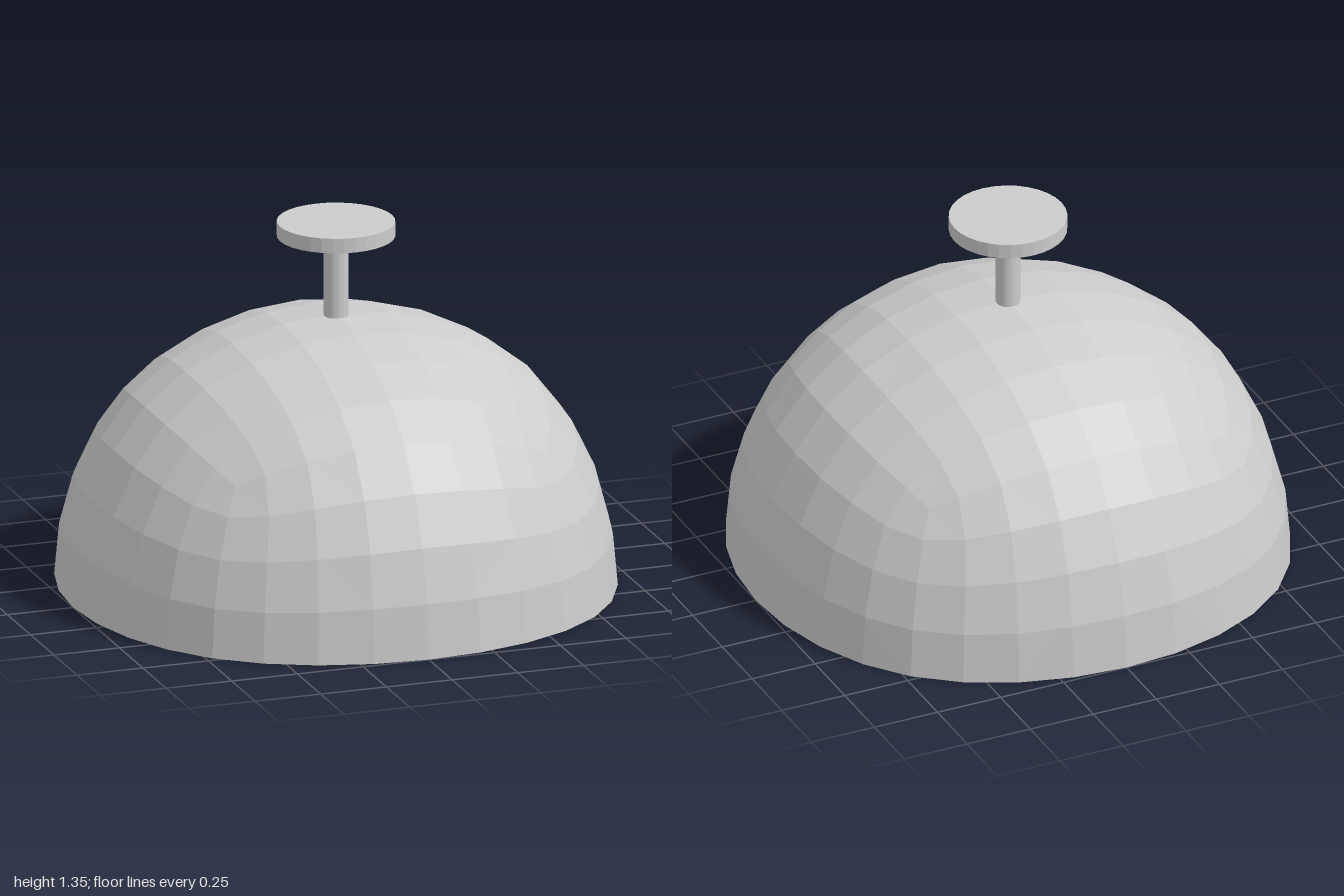
import * as THREE from 'three';

const grey = new THREE.MeshStandardMaterial({ color: 0xcccccc });
grey.name = 'light grey';
grey.flatShading = true;
grey.side = THREE.DoubleSide;

const average = (list) =>
  list.reduce((sum, v) => sum.add(v), new THREE.Vector3()).divideScalar(list.length);

// One round of Catmull-Clark smoothing on a closed quad mesh
function subdivide({ points, quads }) {
  const facePoints = quads.map((q) => average(q.map((i) => points[i])));
  const edges = new Map();
  const around = points.map(() => ({ faces: [], mids: [] }));
  const key = (a, b) => (a < b ? `${a}_${b}` : `${b}_${a}`);
  quads.forEach((q, f) => q.forEach((a, k) => {
    const b = q[(k + 1) % 4];
    around[a].faces.push(facePoints[f]);
    if (!edges.has(key(a, b))) edges.set(key(a, b), { a, b, faces: [] });
    edges.get(key(a, b)).faces.push(facePoints[f]);
  }));
  const next = [];
  for (const e of edges.values()) {
    const mid = average([points[e.a], points[e.b]]);
    around[e.a].mids.push(mid);
    around[e.b].mids.push(mid);
    e.index = points.length + next.length;
    next.push(average([points[e.a], points[e.b], ...e.faces]));
  }
  const moved = points.map((p, i) => {
    const n = around[i].faces.length;
    return average(around[i].faces)
      .addScaledVector(average(around[i].mids), 2)
      .addScaledVector(p, n - 3)
      .divideScalar(n);
  });
  const firstFace = points.length + next.length;
  const newQuads = quads.flatMap((q, f) => q.map((a, k) => [
    a,
    edges.get(key(a, q[(k + 1) % 4])).index,
    firstFace + f,
    edges.get(key(q[(k + 3) % 4], a)).index,
  ]));
  return { points: [...moved, ...next, ...facePoints], quads: newQuads };
}

// Upper half of a smoothed cube, scaled to radius 1 along the axes
function domeGeometry() {
  const points = [];
  for (const z of [-1, 1]) for (const y of [-1, 1]) for (const x of [-1, 1]) {
    points.push(new THREE.Vector3(x, y, z));
  }
  let mesh = {
    points,
    quads: [[4, 5, 7, 6], [1, 0, 2, 3], [5, 1, 3, 7], [0, 4, 6, 2], [6, 7, 3, 2], [0, 1, 5, 4]],
  };
  for (let i = 0; i < 3; i++) mesh = subdivide(mesh);
  const size = Math.max(...mesh.points.map((p) => p.y));
  const positions = [];
  for (const q of mesh.quads) {
    const corners = q.map((i) => mesh.points[i]);
    if (average(corners).y < 0) continue;
    for (const k of [0, 1, 2, 0, 2, 3]) {
      positions.push(...corners[k].clone().divideScalar(size).toArray());
    }
  }
  const geometry = new THREE.BufferGeometry();
  geometry.setAttribute('position', new THREE.Float32BufferAttribute(positions, 3));
  geometry.computeVertexNormals();
  return geometry;
}

// Upright cylinder between two heights
function post(radius, bottom, top) {
  return new THREE.CylinderGeometry(radius, radius, top - bottom, 32)
    .translate(0, (bottom + top) / 2, 0);
}

export function createModel() {
  const model = new THREE.Group();
  model.name = 'pendantLamp';
  const parts = {
    domeShade: domeGeometry(),
    stem: post(0.044, 0.99, 1.3),
    ceilingPlate: post(0.213, 1.295, 1.35),
  };
  for (const [name, geometry] of Object.entries(parts)) {
    const mesh = new THREE.Mesh(geometry, grey);
    mesh.name = name;
    model.add(mesh);
  }
  return model;
}
